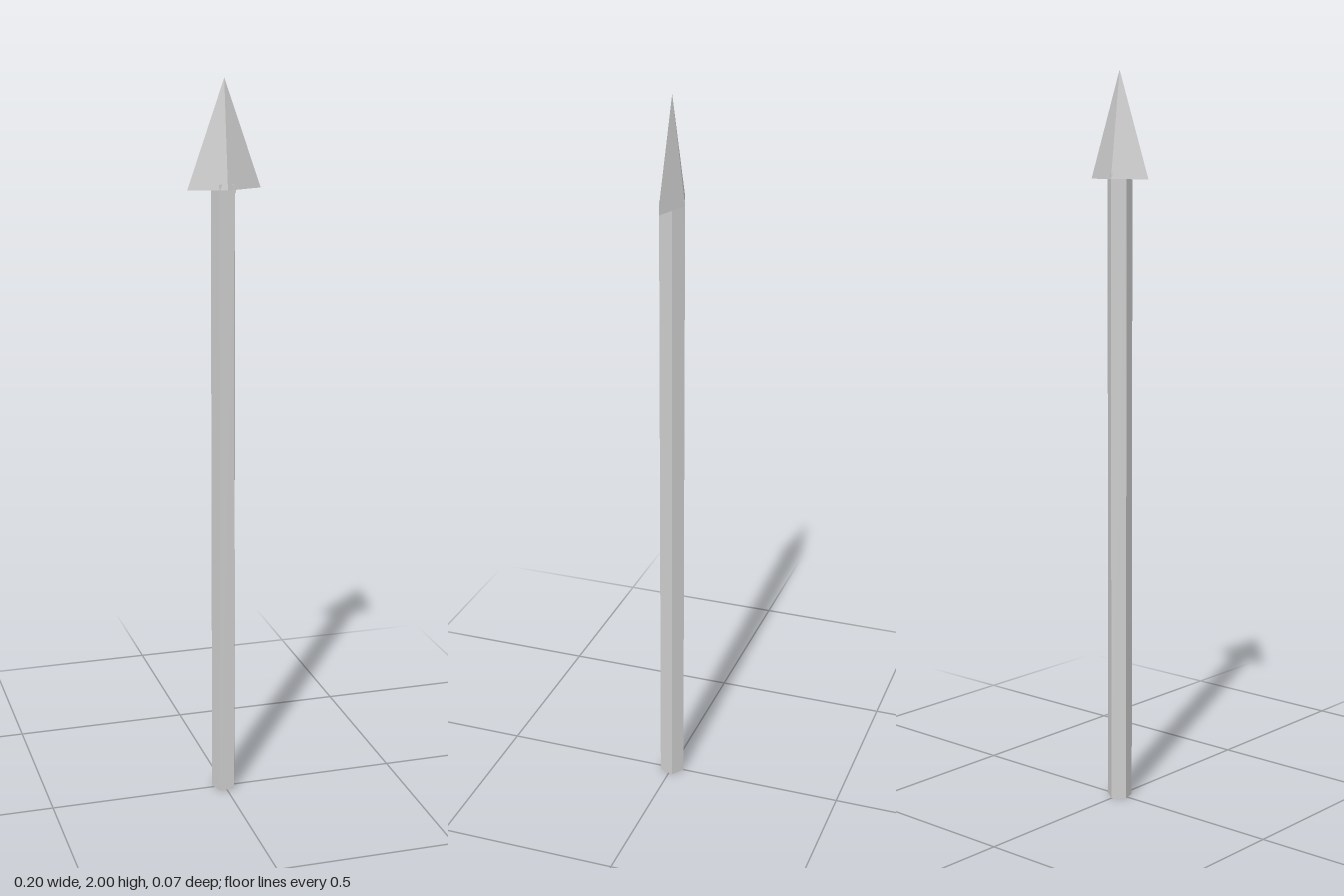
import * as THREE from 'three';

export function createModel() {
  const group = new THREE.Group();
  const material = new THREE.MeshStandardMaterial({ color: 0xcccccc, flatShading: true });

  function addPart(name, geometry, bottom) {
    // Flat facets: split the corners and recompute the normals
    const flat = geometry.toNonIndexed();
    flat.computeVertexNormals();
    const mesh = new THREE.Mesh(flat, material);
    mesh.name = name;
    mesh.position.y = bottom + geometry.parameters.height / 2;
    group.add(mesh);
  }

  // Five-sided shaft with a flat side to the front, its top set into the head
  addPart('shaft', new THREE.CylinderGeometry(0.035, 0.035, 1.73, 5, 1, false, Math.PI), 0);

  // Flattened four-sided spearhead, closed at the base
  const head = new THREE.ConeGeometry(1, 0.285, 4);
  head.scale(0.1, 1, 0.035);
  addPart('spearhead', head, 1.715);

  return group;
}
